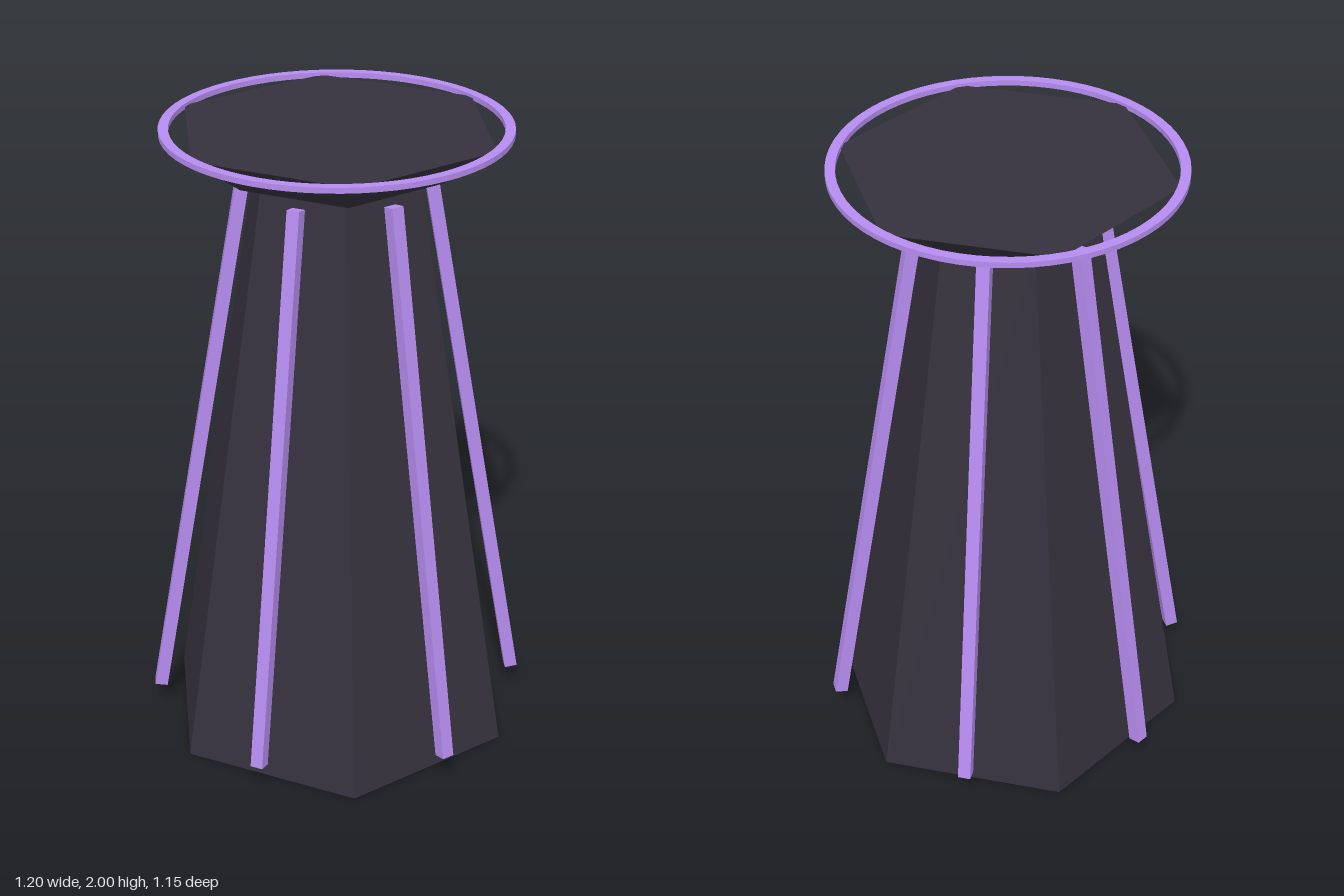
import * as THREE from 'three';

const dark = new THREE.MeshStandardMaterial({ color: 0x35313d, flatShading: true });
const purple = new THREE.MeshStandardMaterial({ color: 0xb68cf0, flatShading: true });

export function createModel() {
  const model = new THREE.Group();
  model.name = 'pedestal';

  function add(name, geometry, material, parent = model) {
    const mesh = new THREE.Mesh(geometry, material);
    mesh.name = name;
    parent.add(mesh);
    return mesh;
  }

  // Tapered hexagonal column, corners facing front and back
  add('column', new THREE.CylinderGeometry(0.27, 0.577, 1.87, 6), dark).position.y = 0.935;

  // Flared hexagonal top
  add('flaredTop', new THREE.CylinderGeometry(0.505, 0.343, 0.12, 6), dark).position.y = 1.93;

  // Thin flat ring around the rim of the top
  const outline = new THREE.Shape().absarc(0, 0, 0.525, 0, Math.PI * 2);
  outline.holes.push(new THREE.Path().absarc(0, 0, 0.495, 0, Math.PI * 2, true));
  const ringGeometry = new THREE.ExtrudeGeometry(outline, {
    depth: 0.017, bevelEnabled: false, curveSegments: 32,
  });
  ringGeometry.rotateX(-Math.PI / 2);
  add('rimRing', ringGeometry, purple).position.y = 1.983;

  // Six leaning strips, one in front of each face of the column
  const stripGeometry = new THREE.BoxGeometry(0.04, 1.764, 0.04);
  for (let i = 0; i < 6; i++) {
    const arm = new THREE.Group();
    arm.name = 'stripMount' + (i + 1);
    arm.rotation.y = (i * Math.PI) / 3;
    const strip = add('strip' + (i + 1), stripGeometry, purple, arm);
    strip.position.set(0.432, 0.9625, 0);
    strip.rotation.z = 0.17;
    model.add(arm);
  }

  return model;
}
